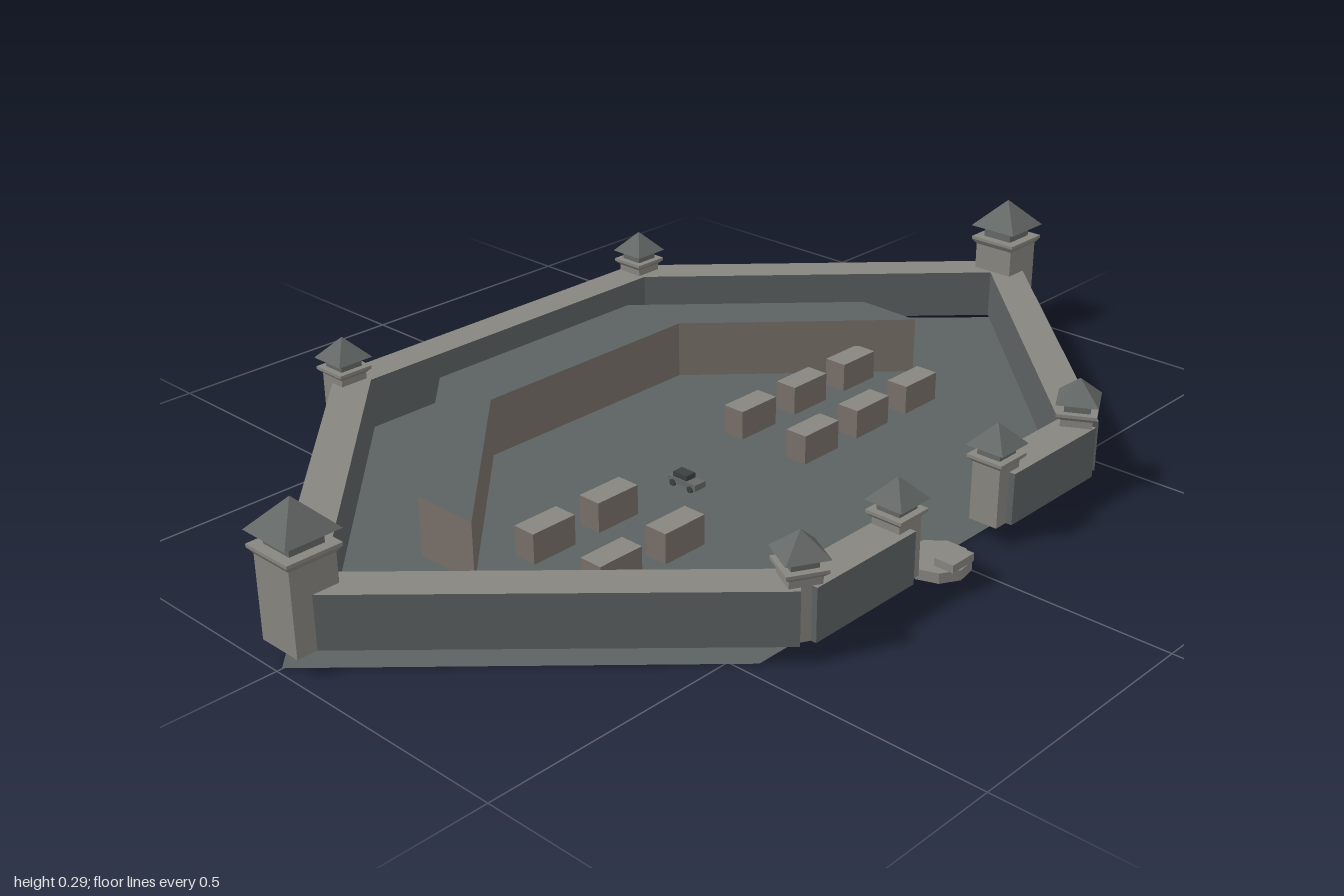
import * as THREE from 'three';

const mat = (name, color, side = THREE.FrontSide) => {
  const m = new THREE.MeshStandardMaterial({ color, side });
  m.name = name;
  return m;
};

export function createModel() {
  const slate = mat('slate', 0x5c6161);
  const ground = mat('ground slate', 0x5c6161, THREE.DoubleSide);
  const stone = mat('stone', 0x878580);
  const brown = mat('brown stone', 0x787069);
  const roofing = mat('roofing', 0x646866);
  const dark = mat('dark metal', 0x3c3f40);
  const root = new THREE.Group();
  root.name = 'fortress';

  const add = (parent, name, geo, material, x = 0, y = 0, z = 0) => {
    const m = new THREE.Mesh(geo, material);
    m.name = name;
    m.position.set(x, y, z);
    parent.add(m);
    return m;
  };
  // Box standing on height y
  const box = (parent, name, w, h, d, material, x, y, z) =>
    add(parent, name, new THREE.BoxGeometry(w, h, d), material, x, y + h / 2, z);
  // Square frustum with half widths at the top and bottom
  const frustum = (parent, name, top, bottom, h, material, y) => {
    const g = new THREE.CylinderGeometry(top * Math.SQRT2, bottom * Math.SQRT2, h, 4)
      .rotateY(Math.PI / 4).toNonIndexed();
    g.computeVertexNormals();
    return add(parent, name, g, material, 0, y + h / 2, 0);
  };
  // Plan outline of [x, z] points; shape y becomes -z
  const plan = pts => new THREE.Shape(pts.map(([x, z]) => new THREE.Vector2(x, -z)));

  // Floor
  const floor = new THREE.ShapeGeometry(plan([
    [0, -0.99], [-0.6, -0.41], [-0.6, 0.42], [0, 0.99], [0.54, 0.47], [0.54, -0.46]]));
  add(root, 'floor', floor.rotateX(-Math.PI / 2), ground, 0, 0.001, 0);

  // Raised walls with stone tops
  const wall = (x1, z1, x2, z2) => {
    const len = Math.hypot(x2 - x1, z2 - z1);
    const m = box(root, 'wall', len, 0.1, 0.072,
      [slate, slate, stone, slate, slate, slate], (x1 + x2) / 2, 0.035, (z1 + z2) / 2);
    m.rotation.y = -Math.atan2(z2 - z1, x2 - x1);
  };
  wall(-0.57, -0.385, -0.57, 0.415);
  for (const s of [-1, 1]) {
    const zc = s < 0 ? -0.38 : 0.405;
    wall(0, s * 0.945, -0.565, zc);
    wall(0, s * 0.945, 0.565, zc);
    wall(0.565, zc, 0.565, s < 0 ? -0.125 : 0.155);
  }

  // Towers: shaft, flared cornice, neck and pyramid roof
  const tower = (name, x, z, turn, half, shaftTop, big) => {
    const t = new THREE.Group();
    t.name = name;
    t.position.set(x, 0, z);
    t.rotation.y = turn;
    root.add(t);
    const k = big ? 1.4 : 1;
    box(t, 'shaft', half * 2, shaftTop - 0.035, half * 2, stone, 0, 0.035, 0);
    frustum(t, 'cornice', half + 0.008, half, 0.008 * k, stone, shaftTop);
    const y = shaftTop + 0.008 * k;
    box(t, 'cornice slab', half * 2 + 0.016, 0.006, half * 2 + 0.016, stone, 0, y, 0);
    box(t, 'neck', 0.048 * k, 0.018 * k, 0.048 * k, roofing, 0, y + 0.006, 0);
    frustum(t, 'roof', 0, 0.039 * k, big ? 0.057 : 0.042, roofing, big ? 0.232 : 0.18);
  };
  for (const s of [-1, 1]) tower('mainTower', 0, s * 0.945, 0, 0.045, 0.19, true);
  [[-0.575, -0.385, 0], [-0.575, 0.415, 0], [0.56, -0.38, 0.5], [0.56, 0.4, -0.5],
    [0.56, -0.125, 0], [0.56, 0.155, 0]].forEach(([x, z, turn]) =>
    tower('smallTower', x, z, turn, 0.029, 0.148, false));

  // Long angled building along one side of the yard
  const hall = new THREE.ExtrudeGeometry(plan([
    [-0.12, -0.605], [-0.475, -0.25], [-0.475, 0.265], [-0.12, 0.61], [0.02, 0.61],
    [-0.325, 0.265], [-0.325, -0.25], [0.02, -0.6]]), { depth: 0.118, bevelEnabled: false });
  add(root, 'longHall', hall.rotateX(-Math.PI / 2), [slate, brown]);

  // Rows of huts
  const huts = (xs, zs) => xs.forEach(x => zs.forEach(z =>
    box(root, 'hut', 0.048, 0.06, 0.098, [brown, brown, stone, brown, brown, brown], x, 0, z)));
  huts([-0.045, 0.115], [-0.47, -0.315, -0.16]);
  huts([0.023, 0.188], [0.295, 0.45]);

  // Round platform in the gateway
  const disc = (r, h) => {
    const g = new THREE.CylinderGeometry(r, r, h, 9).toNonIndexed();
    g.computeVertexNormals();
    return g;
  };
  add(root, 'gatePlatform', disc(0.06, 0.02), stone, 0.557, 0.01, 0.03);
  box(root, 'gateBlock', 0.04, 0.015, 0.06, stone, 0.592, 0.02, 0.03);
  box(root, 'platformStep', 0.014, 0.018, 0.022, stone, 0.502, 0, 0.03);

  // Small vehicle in the yard
  const car = new THREE.Group();
  car.name = 'vehicle';
  car.position.set(0.036, 0, 0.107);
  root.add(car);
  box(car, 'body', 0.07, 0.012, 0.028, roofing, 0, 0.007, 0);
  box(car, 'cab', 0.034, 0.01, 0.024, dark, -0.006, 0.019, 0);
  for (const x of [-0.022, 0.022]) for (const z of [-0.014, 0.014])
    add(car, 'wheel', new THREE.CylinderGeometry(0.007, 0.007, 0.005, 8).rotateX(Math.PI / 2),
      dark, x, 0.007, z);

  return root;
}
